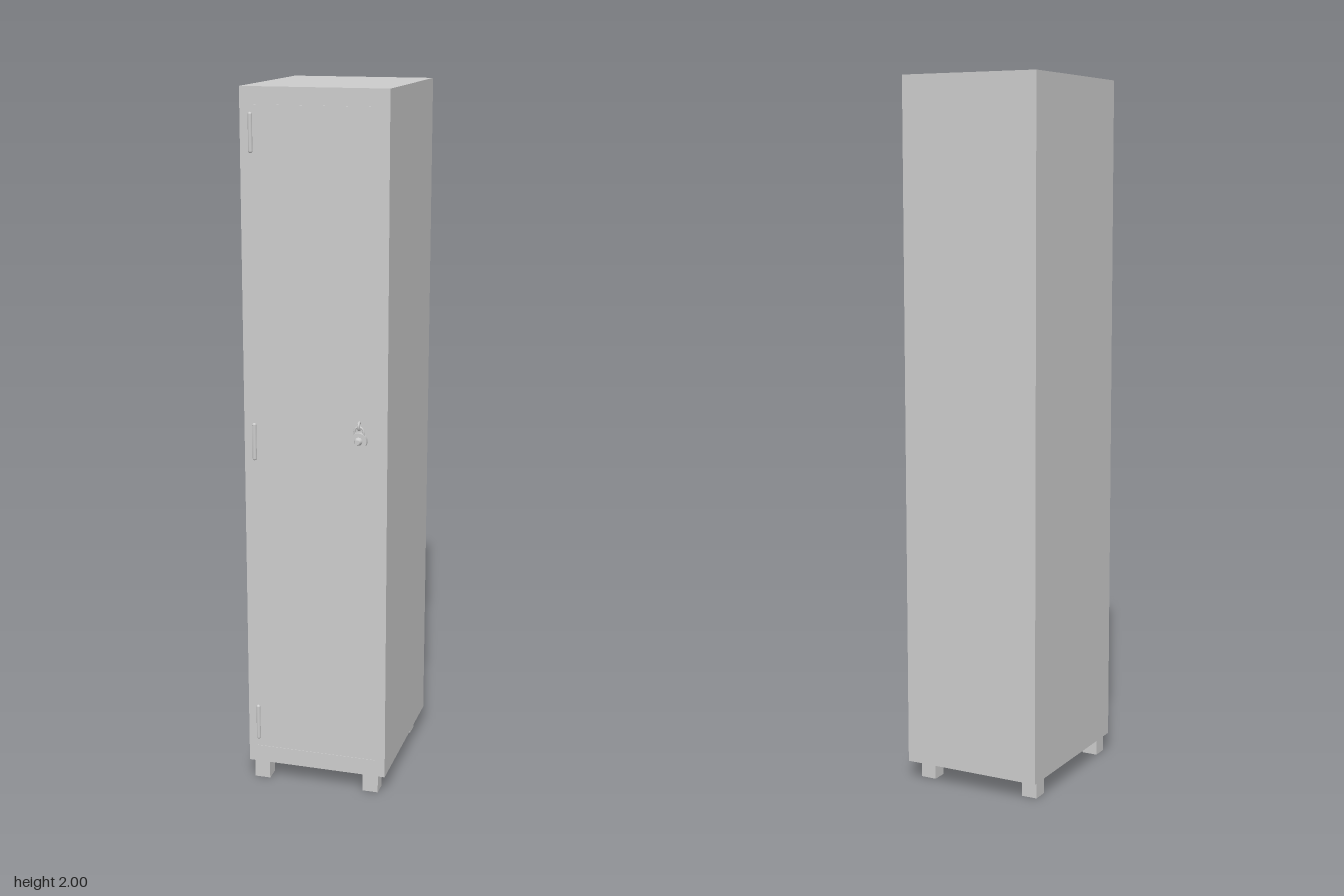
import * as THREE from 'three';

const material = new THREE.MeshStandardMaterial({ color: 0xcccccc });
const FRONT = 0.23;

export function createModel() {
  const locker = new THREE.Group();
  locker.name = 'locker';

  const add = (name, geometry, x, y, z, parent = locker) => {
    const mesh = new THREE.Mesh(geometry, material);
    mesh.name = name;
    mesh.position.set(x, y, z);
    parent.add(mesh);
    return mesh;
  };

  // Cabinet body
  add('cabinet', new THREE.BoxGeometry(0.41, 1.945, 0.49), 0, 1.0275, -0.015);

  // Four square feet
  for (const x of [-0.168, 0.16])
    for (const z of [-0.2, 0.2])
      add('foot', new THREE.BoxGeometry(0.046, 0.055, 0.046), x, 0.0275, z);

  // Thin strips marking the top and bottom of the door
  for (const y of [0.102, 1.95])
    add('doorEdge', new THREE.BoxGeometry(0.354, 0.007, 0.003), -0.002, y, FRONT);

  // Hinge barrels on the right edge of the door
  for (const y of [0.18, 1.032, 1.88]) {
    const hinge = new THREE.Group();
    hinge.name = 'hinge';
    hinge.position.set(-0.176, y, FRONT);
    locker.add(hinge);
    add('hingeBarrel', new THREE.CylinderGeometry(0.006, 0.006, 0.098, 12), 0, 0, 0, hinge);
    for (const side of [-1, 1])
      add('hingeCap', new THREE.SphereGeometry(0.006, 12, 8), 0, side * 0.048, 0, hinge);
  }

  // Round padlock hanging from a hasp
  const lock = new THREE.Group();
  lock.name = 'padlock';
  lock.position.set(0.127, 1.06, FRONT);
  locker.add(lock);

  const disc = new THREE.CylinderGeometry(0.023, 0.023, 0.013, 24).rotateX(Math.PI / 2);
  add('lockBody', disc, 0, 0, 0.0085, lock);
  const dial = new THREE.CylinderGeometry(0.007, 0.012, 0.012, 12).rotateX(Math.PI / 2);
  add('lockDial', dial, 0, 0, 0.02, lock);

  // Shackle: two legs joined by an arch
  const arch = new THREE.CatmullRomCurve3([
    [-0.014, 0.014], [-0.013, 0.027], [-0.008, 0.036], [0, 0.039],
    [0.008, 0.036], [0.013, 0.027], [0.014, 0.014],
  ].map(([x, y]) => new THREE.Vector3(x, y, 0)));
  add('shackle', new THREE.TubeGeometry(arch, 24, 0.003, 8), 0, 0, 0.0085, lock);

  // Hasp loop standing out from the door around the shackle
  const hasp = new THREE.TorusGeometry(0.01, 0.004, 8, 20).rotateY(Math.PI / 2);
  add('hasp', hasp, 0, 0.041, 0.005, lock);

  return locker;
}
